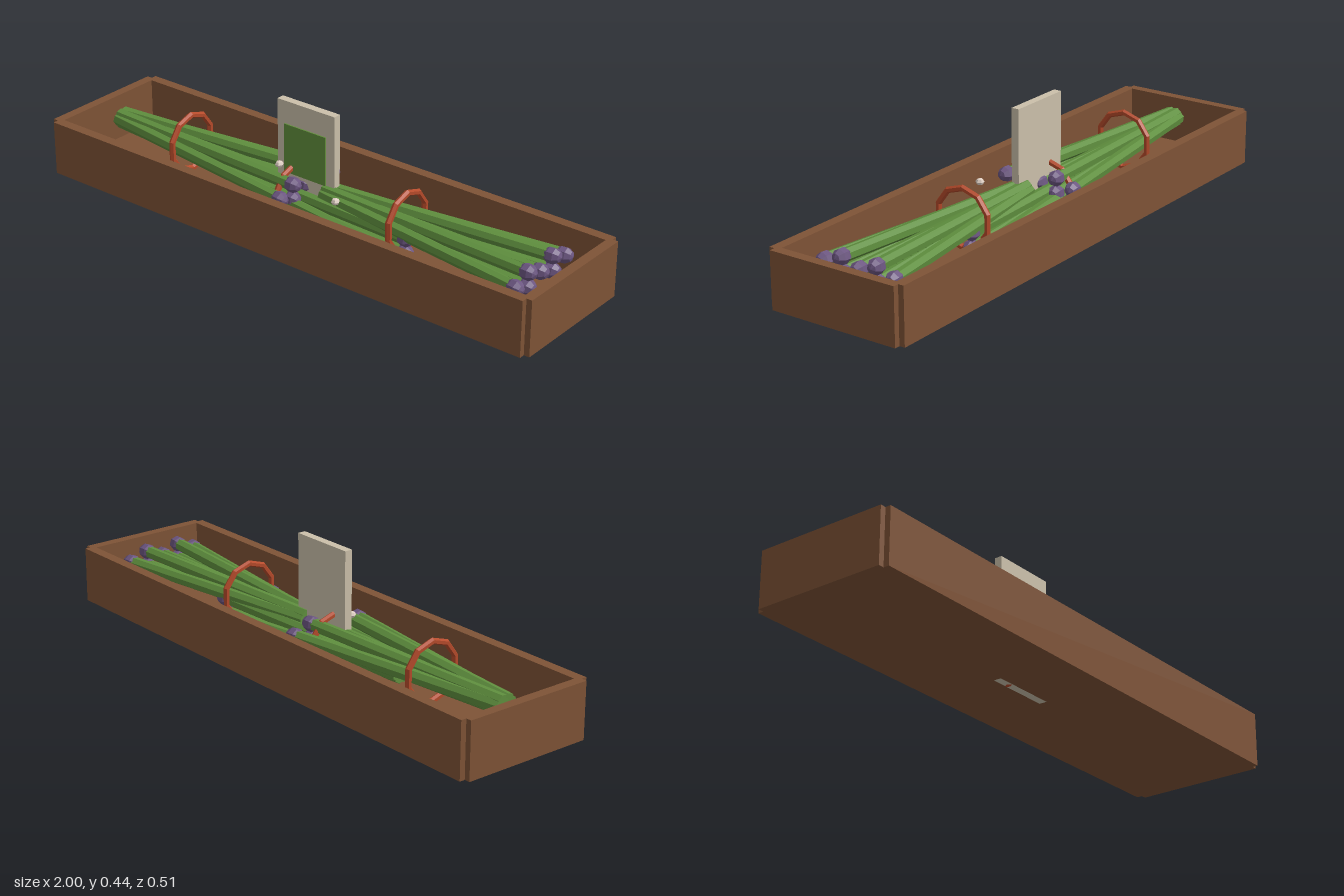
import * as THREE from 'three';

const mat = (name, color) => {
  const m = new THREE.MeshStandardMaterial({ color, flatShading: true });
  m.name = name;
  return m;
};

export function createModel() {
  const wood = mat('brown wood', 0x7e5336);
  const stalk = mat('stalk green', 0x5f8f3e);
  const purple = mat('tip purple', 0x6b5580);
  const rubber = mat('band red', 0xb54a2a);
  const card = mat('sign beige', 0xcbc0aa);
  const paint = mat('panel green', 0x628f3c);
  const pale = mat('pale bud', 0xe0d0c4);

  const model = new THREE.Group();
  model.name = 'vegetableCrate';

  const add = (parent, name, geometry, material, x, y, z) => {
    const mesh = new THREE.Mesh(geometry, material);
    mesh.name = name;
    mesh.position.set(x, y, z);
    parent.add(mesh);
    return mesh;
  };
  const box = (parent, name, w, h, d, material, x, y, z) =>
    add(parent, name, new THREE.BoxGeometry(w, h, d), material, x, y, z);

  // Open crate: floor, long walls and end walls with stepped corners
  const crate = new THREE.Group();
  crate.name = 'crate';
  model.add(crate);
  box(crate, 'floor', 1.95, 0.03, 0.46, wood, 0, 0.015, 0);
  for (const s of [-1, 1]) {
    box(crate, 'longWall', 1.96, 0.195, 0.037, wood, 0, 0.0975, s * 0.2385);
    box(crate, 'endWall', 0.035, 0.195, 0.474, wood, s * 0.9825, 0.0975, 0);
  }

  // One stalk from root to tip, with a purple bud on the end
  const up = new THREE.Vector3(0, 1, 0);
  const addStalk = (bundle, row, column) => {
    const root = new THREE.Vector3(0, row * 0.012, column * 0.01);
    const tip = new THREE.Vector3(0.84, row * 0.026, column * 0.067);
    const dir = tip.clone().sub(root);
    const turn = new THREE.Quaternion().setFromUnitVectors(up, dir.clone().normalize());
    const middle = root.clone().add(tip).multiplyScalar(0.5);
    add(bundle, 'stalk', new THREE.CylinderGeometry(0.022, 0.024, dir.length(), 7),
      stalk, ...middle).quaternion.copy(turn);
    const bud = add(bundle, 'bud', new THREE.SphereGeometry(0.028, 7, 5), purple, ...tip);
    bud.quaternion.copy(turn);
    bud.scale.y = 1.2;
  };

  // Three fanned bundles of seven stalks, each held by a band
  const hex = [[0, -2], [0, 0], [0, 2], [1, -1], [1, 1], [-1, -1], [-1, 1]];
  const bandGeometry = new THREE.TorusGeometry(0.101, 0.011, 6, 10)
    .rotateZ(Math.PI / 2).rotateY(Math.PI / 2);
  [[-0.9, 0.147], [-0.435, 0.104], [0.03, 0.147]].forEach(([x, y], i) => {
    const bundle = new THREE.Group();
    bundle.name = 'bundle' + (i + 1);
    bundle.position.set(x, y, 0);
    for (const [row, column] of hex) addStalk(bundle, row, column);
    add(bundle, 'band', bandGeometry, rubber, 0.33, 0.003, 0);
    model.add(bundle);
  });

  // Upright sign with a painted panel on its front
  box(model, 'sign', 0.24, 0.437, 0.028, card, -0.045, 0.2185, 0.002);
  box(model, 'signPanel', 0.175, 0.175, 0.006, paint, -0.047, 0.268, 0.018);

  // Small pale buds scattered on the stalks
  for (const [x, y, z] of [[-0.148, 0.207, 0.03], [-0.188, 0.148, 0.104], [0.143, 0.187, 0.095]]) {
    add(model, 'paleBud', new THREE.SphereGeometry(0.015, 6, 4), pale, x, y, z).scale.y = 0.8;
  }
  return model;
}
